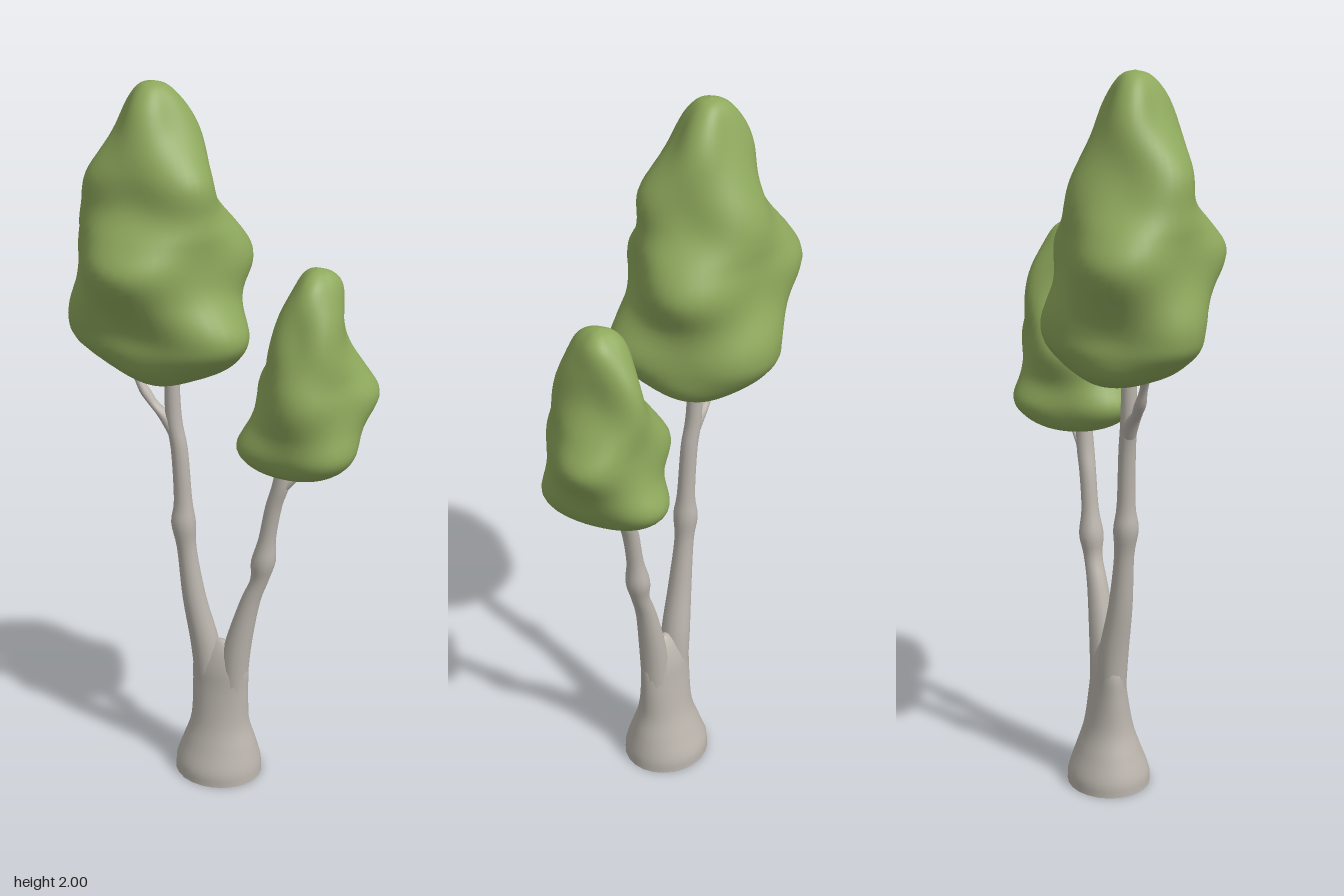
import * as THREE from 'three';
import { mergeVertices } from 'three/addons/utils/BufferGeometryUtils.js';

const bark = new THREE.MeshStandardMaterial({ color: 0xbab4ac, side: THREE.DoubleSide });
const leaves = new THREE.MeshStandardMaterial({ color: 0x8ea85c });

// Smooth skin through horizontal sections [y, xMin, xMax, zMin, zMax], listed upwards.
// swell(angle, y) scales the section's radius.
function skin(name, sections, material, sides = 24, steps = 5, swell = () => 1) {
  const curve = new THREE.CubicInterpolant(sections.map((s, i) => i), sections.flat(), 5);
  const rows = (sections.length - 1) * steps;
  const positions = [], index = [];
  for (let r = 0; r <= rows; r++) {
    const [y, x0, x1, z0, z1] = curve.evaluate(r / steps);
    for (let s = 0; s < sides; s++) {
      const a = (s / sides) * Math.PI * 2, k = swell(a, y) / 2;
      positions.push(
        (x0 + x1) / 2 + (x1 - x0) * Math.cos(a) * k,
        y,
        (z0 + z1) / 2 + (z1 - z0) * Math.sin(a) * k
      );
      if (r < rows) {
        const n = (s + 1) % sides, b = r * sides, t = b + sides;
        index.push(b + s, t + s, b + n, b + n, t + s, t + n);
      }
    }
  }
  let geometry = new THREE.BufferGeometry();
  geometry.setAttribute('position', new THREE.Float32BufferAttribute(positions, 3));
  geometry.setIndex(index);
  geometry = mergeVertices(geometry, 1e-5);
  geometry.computeVertexNormals();
  const mesh = new THREE.Mesh(geometry, material);
  mesh.name = name;
  return mesh;
}

// Round limb through [x, y, z, radius]
const limb = (name, points) => skin(name,
  points.map(([x, y, z, r]) => [y, x - r, x + r, z - r, z + r]), bark, 14, 4);

// Crown with tiers of three lobes, each tier turned 60 degrees from the next;
// the tier at lobeY has a lobe at the front
const crown = (name, lobeY, tierHeight, sections) => skin(name, sections, leaves, 48, 6,
  (a, y) => 1 + 0.13 * Math.cos(3 * (a - Math.PI / 2)) * Math.cos(((y - lobeY) / tierHeight) * Math.PI));

export function createModel() {
  const tree = new THREE.Group();
  tree.name = 'tree';

  // Flared trunk, closing in the crotch between the stems
  tree.add(skin('trunk', [
    [0, -0.135, 0.115, -0.14, 0.09],
    [0.04, -0.132, 0.112, -0.137, 0.087],
    [0.1, -0.112, 0.098, -0.115, 0.065],
    [0.17, -0.09, 0.08, -0.092, 0.043],
    [0.27, -0.087, 0.078, -0.076, 0.026],
    [0.34, -0.086, 0.078, -0.067, 0.019],
    [0.39, -0.065, 0.06, -0.052, 0.006],
    [0.42, -0.02, 0.02, -0.035, -0.01],
    [0.425, 0, 0, -0.022, -0.022],
  ], bark));
  const base = new THREE.Mesh(new THREE.CircleGeometry(1, 24), bark);
  base.name = 'recessedBase';
  base.rotation.x = Math.PI / 2;
  base.scale.set(0.122, 0.112, 1);
  base.position.set(-0.01, 0.035, -0.025);
  tree.add(base);

  // Two knotted stems, each with a side branch
  tree.add(limb('rightStem', [
    [-0.036, 0.25, -0.025, 0.04], [-0.049, 0.4, -0.02, 0.041],
    [-0.077, 0.55, -0.008, 0.033], [-0.097, 0.7, -0.003, 0.027],
    [-0.105, 0.78, 0, 0.034], [-0.106, 0.85, 0, 0.025],
    [-0.116, 1.0, 0, 0.023], [-0.133, 1.1, 0, 0.022], [-0.137, 1.3, 0, 0.018],
  ]));
  tree.add(limb('rightBranch', [
    [-0.122, 1.03, 0, 0.018], [-0.155, 1.09, 0.003, 0.02], [-0.188, 1.125, 0.008, 0.015],
    [-0.21, 1.155, 0.01, 0.016], [-0.235, 1.2, 0.012, 0.011], [-0.27, 1.26, 0.012, 0.013],
  ]));
  tree.add(limb('leftStem', [
    [0.032, 0.25, -0.025, 0.04], [0.045, 0.4, -0.026, 0.039],
    [0.078, 0.55, -0.034, 0.029], [0.106, 0.63, -0.04, 0.026],
    [0.116, 0.69, -0.042, 0.034], [0.126, 0.76, -0.043, 0.024],
    [0.143, 0.86, -0.045, 0.023], [0.165, 0.94, -0.047, 0.024], [0.18, 1.08, -0.05, 0.018],
  ]));
  tree.add(limb('leftBranch', [
    [0.16, 0.91, -0.047, 0.018], [0.195, 0.95, -0.055, 0.017],
    [0.23, 0.98, -0.065, 0.013], [0.27, 1.03, -0.075, 0.012],
  ]));

  // Tall crown on the right stem
  tree.add(crown('tallCrown', 1.55, 0.19, [
    [1.2, -0.15, -0.15, -0.02, -0.02],
    [1.21, -0.23, -0.06, -0.11, 0.07],
    [1.25, -0.325, 0.02, -0.17, 0.13],
    [1.31, -0.38, 0.07, -0.202, 0.175],
    [1.37, -0.392, 0.082, -0.207, 0.187],
    [1.46, -0.398, 0.05, -0.205, 0.2],
    [1.55, -0.405, 0.05, -0.208, 0.21],
    [1.62, -0.39, 0.035, -0.185, 0.185],
    [1.69, -0.358, 0.002, -0.158, 0.155],
    [1.78, -0.33, -0.015, -0.122, 0.145],
    [1.88, -0.285, -0.068, -0.093, 0.1],
    [1.95, -0.25, -0.11, -0.062, 0.068],
    [1.988, -0.218, -0.145, -0.033, 0.037],
    [2.0, -0.18, -0.18, 0.002, 0.002],
  ]));

  // Small crown on the left stem
  tree.add(crown('smallCrown', 1.22, 0.17, [
    [0.97, 0.21, 0.21, -0.06, -0.06],
    [0.98, 0.14, 0.28, -0.135, 0.02],
    [1.01, 0.09, 0.335, -0.185, 0.08],
    [1.06, 0.066, 0.372, -0.213, 0.11],
    [1.13, 0.085, 0.385, -0.205, 0.1],
    [1.21, 0.09, 0.4, -0.209, 0.095],
    [1.28, 0.118, 0.368, -0.2, 0.092],
    [1.36, 0.152, 0.335, -0.178, 0.083],
    [1.45, 0.173, 0.322, -0.155, 0.05],
    [1.51, 0.197, 0.307, -0.125, 0.012],
    [1.54, 0.222, 0.282, -0.09, -0.025],
    [1.55, 0.252, 0.252, -0.057, -0.057],
  ]));

  return tree;
}
